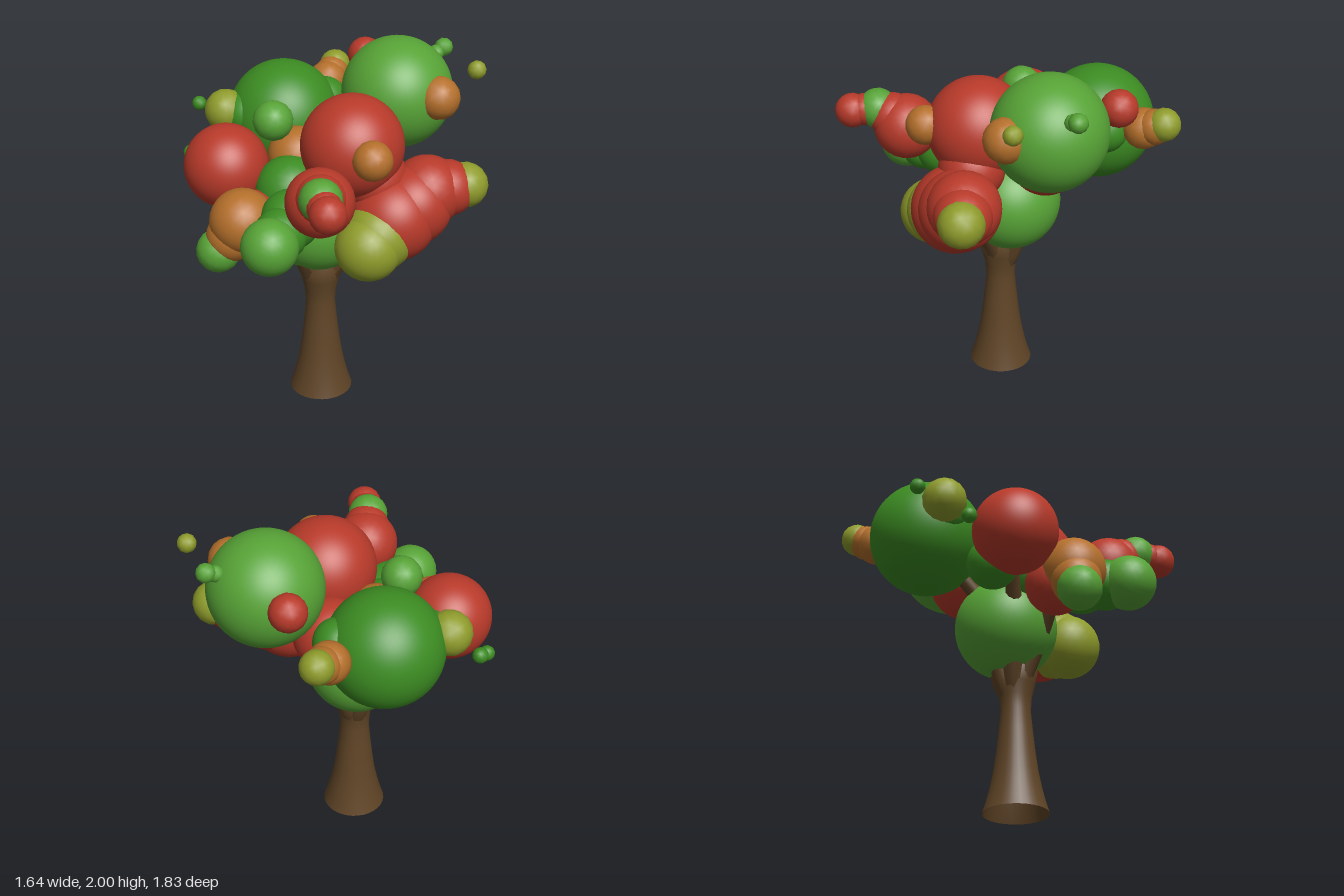
import * as THREE from 'three';

const mat = (color, side = THREE.FrontSide) => new THREE.MeshStandardMaterial({ color, side });

// Foliage balls: [x, y, z, radius]; the small in-between ones round off the joints
const foliage = {
  green: [0x57a336, [
    [0.39, 1.692, -0.21, 0.307], [-0.50, 1.24, 0.53, 0.15], [-0.27, 1.55, 0.68, 0.112],
    [-0.70, 1.05, 0.16, 0.12], [-0.33, 1.64, -0.115, 0.11], [0.69, 1.88, -0.32, 0.052],
    [0.64, 1.86, -0.30, 0.045], [-0.11, 1.05, -0.04, 0.28]]],
  deepGreen: [0x3c8c22, [
    [-0.18, 1.49, -0.52, 0.312], [-0.34, 1.27, 0.32, 0.16], [-0.42, 1.25, 0.43, 0.14],
    [-0.28, 1.30, 0.05, 0.19], [-0.42, 1.27, -0.22, 0.14], [0.06, 1.55, -0.53, 0.13],
    [-0.40, 1.53, -0.49, 0.13], [-0.63, 1.53, -0.70, 0.042], [-0.73, 1.35, -0.45, 0.042]]],
  red: [0xb83a2a, [
    [0.04, 1.565, 0.14, 0.277], [-0.585, 1.39, -0.15, 0.23], [0.23, 1.18, 0.27, 0.24],
    [0.43, 1.29, 0.23, 0.197], [-0.235, 1.455, 0.525, 0.18], [-0.27, 1.54, 0.82, 0.096],
    [0.06, 1.38, -0.22, 0.20], [0.31, 1.78, -0.57, 0.10], [-0.46, 1.18, 0.12, 0.165],
    [-0.27, 1.545, 0.75, 0.09], [-0.25, 1.51, 0.60, 0.13], [0.34, 1.23, 0.25, 0.22],
    [0.54, 1.30, 0.24, 0.155], [0.15, 1.38, 0.18, 0.18]]],
  olive: [0x8f9c2b, [
    [0.06, 1.08, 0.39, 0.18], [0.64, 1.31, 0.25, 0.125], [-0.51, 1.55, -0.52, 0.12],
    [0.20, 1.63, -0.825, 0.09], [0.77, 1.86, 0.0, 0.052], [0.13, 1.12, 0.34, 0.195]]],
  orange: [0xb5702b, [
    [0.07, 1.60, 0.42, 0.107], [0.55, 1.73, 0.02, 0.12], [-0.57, 1.22, 0.18, 0.175],
    [0.13, 1.58, -0.73, 0.112], [-0.20, 1.42, -0.12, 0.16], [0.17, 1.605, -0.78, 0.097],
    [-0.63, 1.13, 0.17, 0.135]]],
};

// Tapered limb: rings swept along a curve, narrowing from r0 to r1
function limbGeometry(points, r0, r1, steps = 12, sides = 10) {
  const curve = new THREE.CatmullRomCurve3(points.map((p) => new THREE.Vector3(...p)));
  const geo = new THREE.TubeGeometry(curve, steps, 1, sides, false);
  const pos = geo.attributes.position, v = new THREE.Vector3();
  for (let i = 0; i < pos.count; i++) {
    const t = Math.floor(i / (sides + 1)) / steps;
    const c = curve.getPointAt(t);
    v.fromBufferAttribute(pos, i).sub(c).multiplyScalar(r0 + (r1 - r0) * t).add(c);
    pos.setXYZ(i, v.x, v.y, v.z);
  }
  geo.computeVertexNormals();
  return geo;
}

export function createModel() {
  const tree = new THREE.Group();
  tree.name = 'tree';
  const bark = mat(0x5f4426, THREE.DoubleSide);

  // Flared trunk, open underneath
  const profile = [[0.177, 0], [0.158, 0.06], [0.138, 0.14], [0.12, 0.23], [0.105, 0.34],
    [0.093, 0.45], [0.082, 0.57], [0.088, 0.65], [0.105, 0.72], [0.12, 0.80], [0.08, 0.9]];
  const trunk = new THREE.Mesh(
    new THREE.LatheGeometry(profile.map(([r, y]) => new THREE.Vector2(r, y)), 32), bark);
  trunk.name = 'trunk';
  trunk.position.set(-0.108, 0, 0.015);
  tree.add(trunk);

  // Branches spreading from the fork: [middle, end]
  const branches = new THREE.Group();
  branches.name = 'branches';
  [
    [[0.02, 0.90, 0.11], [0.23, 1.18, 0.27]],
    [[-0.24, 0.92, 0.09], [-0.46, 1.20, 0.14]],
    [[-0.26, 0.98, -0.04], [-0.50, 1.36, -0.15]],
    [[0.02, 1.10, -0.10], [0.06, 1.40, -0.22]],
    [[-0.14, 1.10, -0.14], [-0.18, 1.40, -0.42]],
  ].forEach(([mid, end]) => {
    const limb = new THREE.Mesh(
      limbGeometry([[-0.108, 0.62, 0.015], [-0.108 + (mid[0] + 0.108) * 0.35, 0.75, mid[2] * 0.4], mid, end],
        0.065, 0.035), bark);
    limb.name = 'branch';
    branches.add(limb);
  });
  tree.add(branches);

  // Leaf clusters, coarser as they get smaller
  for (const [name, [color, balls]] of Object.entries(foliage)) {
    const group = new THREE.Group();
    group.name = `${name}Foliage`;
    const leaf = mat(color);
    balls.forEach(([x, y, z, r], i) => {
      const detail = r < 0.06 ? 1 : r < 0.13 ? 2 : r < 0.2 ? 4 : 9;
      const ball = new THREE.Mesh(new THREE.IcosahedronGeometry(r, detail), leaf);
      ball.name = `${name}Cluster${i + 1}`;
      ball.position.set(x, y, z);
      ball.rotation.set(i * 0.7, i * 1.3, 0);
      group.add(ball);
    });
    tree.add(group);
  }
  return tree;
}
